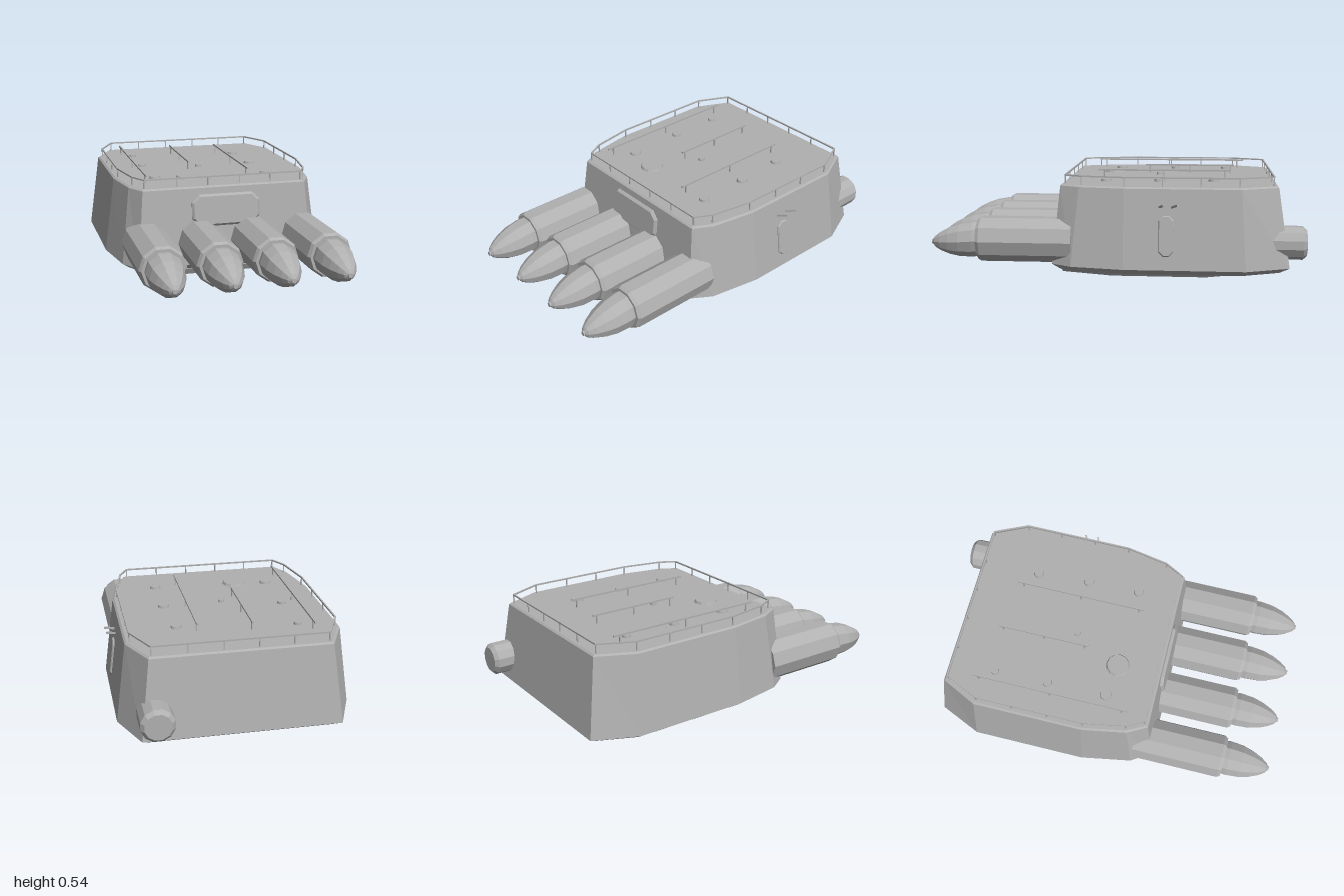
import * as THREE from 'three';

const grey = new THREE.MeshStandardMaterial({ color: 0xb0b0b0, flatShading: true });
grey.name = 'hull grey';

function add(parent, name, geometry) {
  const mesh = new THREE.Mesh(geometry, grey);
  mesh.name = name;
  parent.add(mesh);
  return mesh;
}

// Half outline (+x side, back to front) mirrored into a closed ring
const ring = (half, y) => [
  ...half.map(([x, z]) => new THREE.Vector3(x, y, z)),
  ...half.slice().reverse().map(([x, z]) => new THREE.Vector3(-x, y, z)),
];

// Capped solid through rings listed bottom to top
function loft(rings) {
  const pts = [];
  const n = rings[0].length;
  for (let r = 0; r < rings.length - 1; r++) {
    for (let i = 0; i < n; i++) {
      const j = (i + 1) % n;
      const [a, b, c, d] = [rings[r][i], rings[r][j], rings[r + 1][j], rings[r + 1][i]];
      pts.push(a, d, c, a, c, b);
    }
  }
  const bottom = rings[0], top = rings[rings.length - 1];
  for (let i = 1; i < n - 1; i++) {
    pts.push(bottom[0], bottom[i], bottom[i + 1], top[0], top[i + 1], top[i]);
  }
  const g = new THREE.BufferGeometry().setFromPoints(pts);
  g.computeVertexNormals();
  return g;
}

// Faceted solid of revolution along z, with flat top and bottom sides
function turned(profile, sides) {
  const g = new THREE.LatheGeometry(
    profile.map(([r, z]) => new THREE.Vector2(r, z)), sides, Math.PI / sides);
  return g.rotateX(Math.PI / 2);
}

// Thin square bar between two points
function bar(parent, name, a, b, size = 0.007) {
  const from = new THREE.Vector3(...a), to = new THREE.Vector3(...b);
  const mesh = add(parent, name, new THREE.BoxGeometry(size, size, from.distanceTo(to) + size * 0.6));
  mesh.position.copy(from).lerp(to, 0.5);
  mesh.lookAt(to);
}

// Plate with cut corners, centred, bevelled towards +z
function cutPlate(w, h, cut, depth, bevel) {
  const x = w / 2 - bevel, y = h / 2 - bevel;
  const shape = new THREE.Shape([
    [-x + cut, -y], [x - cut, -y], [x, -y + cut], [x, y - cut],
    [x - cut, y], [-x + cut, y], [-x, y - cut], [-x, -y + cut],
  ].map((p) => new THREE.Vector2(...p)));
  return new THREE.ExtrudeGeometry(shape, {
    depth, bevelEnabled: true, bevelThickness: bevel, bevelSize: bevel, bevelSegments: 1,
  });
}

export function createModel() {
  const model = new THREE.Group();
  model.name = 'turret';

  // Sloped hull with undercut lower edge
  const under = [[0.47, -0.86], [0.56, -0.66], [0.56, -0.05], [0.52, 0.2], [0.46, 0.3]];
  const belt = [[0.51, -0.91], [0.61, -0.68], [0.61, -0.05], [0.56, 0.23], [0.49, 0.34]];
  const rim = [[0.462, -0.85], [0.555, -0.655], [0.555, -0.05], [0.512, 0.19], [0.455, 0.295]];
  const roof = [[0.456, -0.84], [0.545, -0.65], [0.545, -0.05], [0.502, 0.185], [0.45, 0.285]];
  add(model, 'hull', loft([ring(under, 0.033), ring(belt, 0.065), ring(rim, 0.48), ring(roof, 0.488)]));

  // Mounting plate underneath
  const plateLow = [[0.38, -0.67], [0.465, -0.48], [0.465, 0.02], [0.38, 0.295]];
  const plateHigh = [[0.4, -0.69], [0.49, -0.49], [0.49, 0.03], [0.4, 0.315]];
  add(model, 'mountingPlate', loft([ring(plateLow, 0), ring(plateHigh, 0.036)]));

  // Four launch tubes, each with a slightly drooping nose
  for (const x of [-0.44, -0.147, 0.147, 0.44]) {
    const launcher = new THREE.Group();
    launcher.name = 'launcher';
    launcher.position.set(x, 0.188, 0);
    add(launcher, 'launchTube', turned(
      [[0, 0.23], [0.123, 0.23], [0.123, 0.722], [0.112, 0.74], [0, 0.74]], 10));
    const nose = turned([[0.096, 0.73], [0.099, 0.765], [0.092, 0.84], [0.075, 0.9],
      [0.052, 0.95], [0.03, 0.982], [0.014, 0.993], [0.012, 1], [0, 1]], 10);
    const p = nose.attributes.position;
    for (let i = 0; i < p.count; i++) {
      p.setY(i, p.getY(i) - 0.022 * Math.max(0, (p.getZ(i) - 0.74) / 0.26));
    }
    nose.computeVertexNormals();
    add(launcher, 'nose', nose);
    model.add(launcher);
  }

  // Front armour panel
  const panel = add(model, 'frontPanel', cutPlate(0.38, 0.175, 0.035, 0.01, 0.012));
  panel.position.set(0, 0.358, 0.303);
  panel.rotation.x = -0.11;

  // Side hatch and its forked stay
  const side = new THREE.Group();
  side.name = 'sideFitting';
  side.position.set(0.585, 0.24, -0.27);
  side.rotation.set(0, Math.PI / 2, 0);
  const tilt = new THREE.Group();
  tilt.name = 'sideHatchGroup';
  tilt.rotation.x = -0.13;
  side.add(tilt);
  add(tilt, 'sideHatch', cutPlate(0.08, 0.21, 0.02, 0.006, 0.006));
  for (const s of [-1, 1]) {
    bar(tilt, 'hatchStay', [s * 0.015, 0.1, 0.004], [s * 0.05, 0.2, 0.004], 0.01);
  }
  model.add(side);

  // Rear exhaust drum
  const drum = add(model, 'rearDrum', turned(
    [[0, -1], [0.07, -1], [0.089, -0.98], [0.089, -0.8], [0, -0.8]], 12));
  drum.position.set(0.44, 0.19, 0);

  // Roof lids: x, z, radius
  for (const [x, z, r] of [[-0.35, -0.59, 0.022], [-0.345, -0.295, 0.025], [-0.335, 0.03, 0.033],
    [-0.155, 0.055, 0.065], [-0.025, -0.21, 0.018], [0.275, -0.515, 0.029],
    [0.295, -0.225, 0.031], [0.3, 0.065, 0.03]]) {
    const lid = add(model, 'roofLid', new THREE.CylinderGeometry(r * 0.9, r, 0.014, 12));
    lid.position.set(x, 0.494, z);
  }

  // Guard rail around the roof edge
  const railHalf = [[0.447, -0.825], [0.53, -0.645], [0.53, -0.05], [0.488, 0.18], [0.44, 0.27]];
  const rail = ring(railHalf, 0.535);
  rail.forEach((a, i) => {
    const b = rail[(i + 1) % rail.length];
    bar(model, 'guardRail', a.toArray(), b.toArray(), 0.008);
    const spans = Math.max(1, Math.round(a.distanceTo(b) / 0.18));
    for (let k = 0; k < spans; k++) {
      const q = a.clone().lerp(b, k / spans);
      const post = add(model, 'railPost', new THREE.BoxGeometry(0.006, 0.05, 0.006));
      post.position.set(q.x, 0.51, q.z);
    }
  });

  // Straight grab rails on the roof: x, start z, end z
  for (const [x, z0, z1] of [[-0.41, -0.7, 0.17], [-0.1, -0.635, -0.13], [0.18, -0.605, 0.12]]) {
    bar(model, 'grabRail', [x, 0.535, z0], [x, 0.535, z1], 0.009);
    for (const t of [0.04, 0.5, 0.96]) {
      const post = add(model, 'grabRailPost', new THREE.BoxGeometry(0.007, 0.05, 0.007));
      post.position.set(x, 0.51, z0 + (z1 - z0) * t);
    }
  }

  return model;
}
